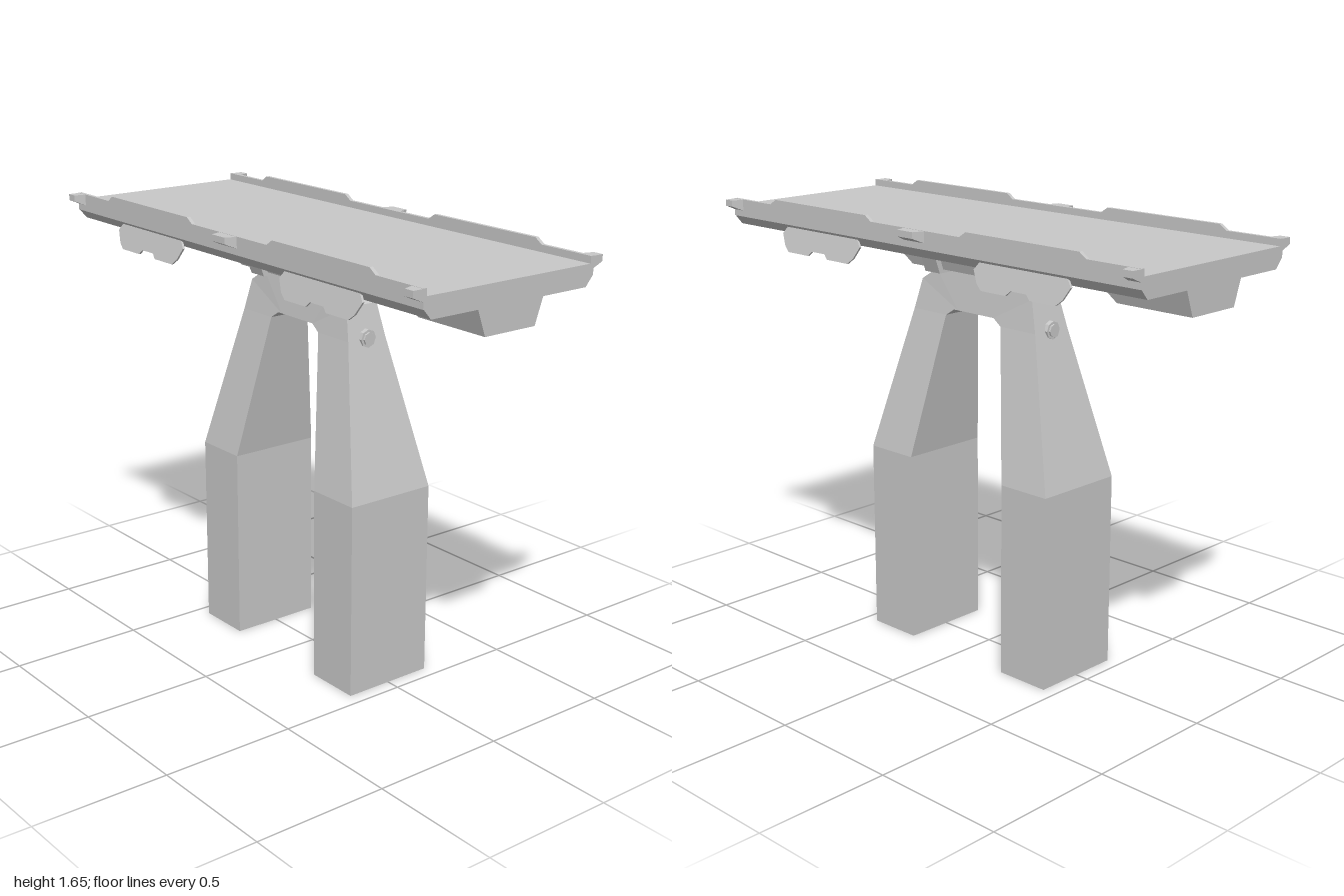
import * as THREE from 'three';

const concrete = new THREE.MeshStandardMaterial({ color: 0xc8c8c8 });

function polygon(points) {
  return new THREE.Shape(points.map(([a, b]) => new THREE.Vector2(a, b)));
}

// Extrude an (x, y) outline along z, centred on z = 0
function alongZ(points, depth) {
  return new THREE.ExtrudeGeometry(polygon(points), { depth, bevelEnabled: false })
    .translate(0, 0, -depth / 2);
}

// Extrude a (z, y) outline along x, centred on x = 0
function alongX(points, width) {
  return new THREE.ExtrudeGeometry(polygon(points), { depth: width, bevelEnabled: false })
    .translate(0, 0, -width / 2).rotateY(-Math.PI / 2);
}

// Append the second half of a symmetric outline
function mirrored(half) {
  return [...half, ...half.map(([a, b]) => [-a, b]).reverse()];
}

// Closed solid lofted through four-cornered cross-sections
function loft(rings) {
  const pos = [];
  const quad = (a, b, c, d) => [a, b, c, a, c, d].forEach((p) => pos.push(...p));
  for (let i = 0; i < rings.length - 1; i++) {
    for (let k = 0; k < 4; k++) {
      const n = (k + 1) % 4;
      quad(rings[i][k], rings[i][n], rings[i + 1][n], rings[i + 1][k]);
    }
  }
  quad(...[...rings[0]].reverse());
  quad(...rings[rings.length - 1]);
  const g = new THREE.BufferGeometry();
  g.setAttribute('position', new THREE.Float32BufferAttribute(pos, 3));
  g.computeVertexNormals();
  return g;
}

export function createModel() {
  const model = new THREE.Group();
  model.name = 'bridgeSection';
  const add = (name, geometry, parent = model) => {
    const mesh = new THREE.Mesh(geometry, concrete);
    mesh.name = name;
    parent.add(mesh);
    return mesh;
  };

  // Deck slab with chamfered lower edges
  add('deck', alongZ(mirrored([[0.335, 1.535], [0.365, 1.57], [0.365, 1.595], [0.352, 1.61]]), 2));

  // Keel under the deck, notched once in each half, tapering downwards
  const keel = alongX([
    [-1, 1.54], [-1, 1.443], [-0.69, 1.443], [-0.635, 1.5], [-0.34, 1.5], [-0.285, 1.443],
    [0.285, 1.443], [0.34, 1.5], [0.635, 1.5], [0.69, 1.443], [1, 1.443], [1, 1.54],
  ], 2);
  const kp = keel.attributes.position;
  for (let i = 0; i < kp.count; i++) {
    kp.setX(i, kp.getX(i) * (0.108 + (kp.getY(i) - 1.443) * 0.36));
  }
  keel.computeVertexNormals();
  add('keel', keel);

  // Ribs wrapped around the keel beside the pier head
  for (const z of [-0.162, 0.162]) {
    add('keelRib', alongZ(mirrored([[0.125, 1.43], [0.167, 1.54]]), 0.075)).position.z = z;
  }

  // Twin-legged pier: outer and inner (z, y) points at each station
  const stations = [
    [0.447, 0, 0.235, 0], [0.447, 0.725, 0.235, 0.725], [0.305, 1.27, 0.138, 1.27],
    [0.275, 1.385, 0.1, 1.295], [0.2, 1.432, 0.08, 1.295],
  ];
  const widths = [[0, 0.177], [0.725, 0.177], [1.27, 0.083], [1.385, 0.068], [1.45, 0.065]];
  const halfWidth = (y) => {
    let i = 0;
    while (i < widths.length - 2 && y > widths[i + 1][0]) i++;
    const [y0, w0] = widths[i], [y1, w1] = widths[i + 1];
    return w0 + (w1 - w0) * (y - y0) / (y1 - y0);
  };
  const arch = [...stations, ...stations.map(([a, b, c, d]) => [-a, b, -c, d]).reverse()];
  add('pier', loft(arch.map(([zo, yo, zi, yi]) => {
    const o = halfWidth(yo), n = halfWidth(yi);
    return [[-o, yo, zo], [o, yo, zo], [n, yi, zi], [-n, yi, zi]];
  })));
  add('pierHead', new THREE.BoxGeometry(0.13, 0.05, 0.4).translate(0, 1.425, 0));

  // Bolts on the outer faces of the pier
  for (const s of [1, -1]) {
    const bolt = new THREE.Group();
    bolt.name = 'bolt';
    for (const [r, len, z] of [[0.033, 0.04, 0.295], [0.024, 0.05, 0.297]]) {
      const g = new THREE.CylinderGeometry(r, r, len, 8).toNonIndexed();
      g.computeVertexNormals();
      add('boltDisc', g.rotateX(Math.PI / 2).translate(0, 1.272, z * s), bolt);
    }
    model.add(bolt);
  }

  // Kerb rails, brackets and hanging flaps, the same on both sides
  const railTop = [[1, 1.635], [0.78, 1.635], [0.75, 1.655], [0.25, 1.655], [0.22, 1.635]];
  const railOutline = [[-1, 1.57], [1, 1.57], ...railTop,
    ...railTop.map(([z, y]) => [-z, y]).reverse()];
  const flapOutline = mirrored([[0.035, 1.489], [0.053, 1.472], [0.165, 1.472],
    [0.19, 1.492], [0.215, 1.535], [0.195, 1.56]]);

  for (const s of [1, -1]) {
    const side = new THREE.Group();
    side.name = s > 0 ? 'leftEdge' : 'rightEdge';
    model.add(side);
    add('kerbRail', alongX(railOutline, 0.014).translate(0.36 * s, 0, 0), side);

    // Tapered brackets at the middle and both ends
    for (const [a, b, c, d] of [[-0.053, 0.053, -0.037, 0.037],
      [0.945, 1, 0.961, 1], [-1, -0.945, -1, -0.961]]) {
      const rings = [
        [0.36, 1.59, a, b], [0.408, 1.611, c, d],
      ].map(([x, y, z0, z1]) => [[x * s, y, z0], [x * s, 1.634, z0], [x * s, 1.634, z1], [x * s, y, z1]]);
      add('railBracket', loft(s > 0 ? rings.map((r) => [...r].reverse()).map((r) => r.reverse())
        : rings.reverse()), side);
    }

    // Flaps leaning outwards towards the bottom
    for (const z of [-0.5, 0.5]) {
      const flap = alongX(flapOutline, 0.008);
      const p = flap.attributes.position;
      for (let i = 0; i < p.count; i++) {
        p.setX(i, p.getX(i) + s * (0.353 + (1.56 - p.getY(i)) * 0.27));
      }
      flap.computeVertexNormals();
      add('sideFlap', flap.translate(0, 0, z), side);
    }
  }
  return model;
}
